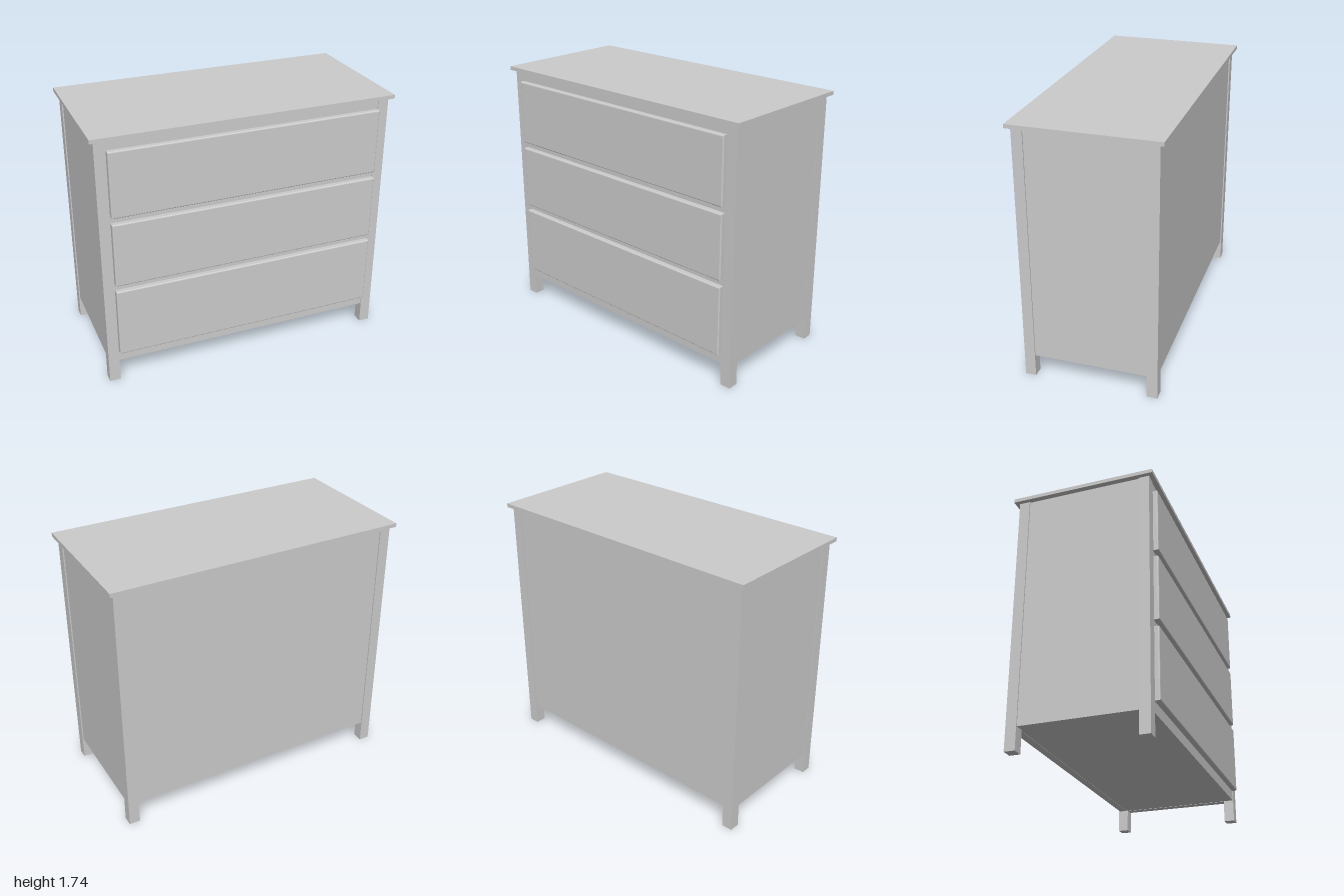
import * as THREE from 'three';

export function createModel() {
  const model = new THREE.Group();
  const grey = new THREE.MeshStandardMaterial({ color: 0xcccccc });

  // Box given by its min and max corners
  function box(name, [x0, y0, z0], [x1, y1, z1]) {
    const mesh = new THREE.Mesh(new THREE.BoxGeometry(x1 - x0, y1 - y0, z1 - z0), grey);
    mesh.position.set((x0 + x1) / 2, (y0 + y1) / 2, (z0 + z1) / 2);
    mesh.name = name;
    model.add(mesh);
  }

  const legIn = 0.9, legOut = 0.972; // leg extents in x
  const zIn = 0.374, zOut = 0.444;   // leg extents in z
  const base = 0.15, under = 1.71;   // carcass bottom and underside of top

  // Overhanging top board
  box('top', [-1, under, -0.473], [1, 1.735, 0.473]);

  // Four full-height corner legs
  for (const sx of [-1, 1]) {
    for (const sz of [-1, 1]) {
      const x = [sx * legIn, sx * legOut].sort((a, b) => a - b);
      const z = [sz * zIn, sz * zOut].sort((a, b) => a - b);
      box((sz > 0 ? 'front' : 'back') + (sx > 0 ? 'Left' : 'Right') + 'Leg',
        [x[0], 0, z[0]], [x[1], under, z[1]]);
    }
  }

  // Side, back and bottom panels, set just inside the leg faces
  box('leftPanel', [0.91, base, -zIn], [0.964, under, zIn]);
  box('rightPanel', [-0.964, base, -zIn], [-0.91, under, zIn]);
  box('backPanel', [-legIn, base, -0.436], [legIn, under, -0.385]);
  box('bottomPanel', [-0.91, base + 0.002, -0.385], [0.91, 0.18, 0.42]);

  // Front rails between the drawers
  const rails = [[base, 0.24], [0.67, 0.75], [1.145, 1.23], [1.62, under]];
  rails.forEach(([y0, y1], i) =>
    box('frontRail' + (i + 1), [-legIn, y0, 0.39], [legIn, y1, 0.44]));

  // Drawer fronts with a softened front edge
  const drawers = [[0.22, 0.69], [0.733, 1.165], [1.208, 1.643]];
  const bevel = 0.008, back = 0.425, front = 0.475;
  drawers.forEach(([y0, y1], i) => {
    const w = 0.898 - bevel, lo = y0 + bevel, hi = y1 - bevel;
    const shape = new THREE.Shape([
      new THREE.Vector2(-w, lo), new THREE.Vector2(w, lo),
      new THREE.Vector2(w, hi), new THREE.Vector2(-w, hi),
    ]);
    const geometry = new THREE.ExtrudeGeometry(shape, {
      depth: front - back - 2 * bevel,
      bevelSize: bevel, bevelThickness: bevel, bevelSegments: 3,
    });
    const drawer = new THREE.Mesh(geometry, grey);
    drawer.position.z = back + bevel;
    drawer.name = 'drawerFront' + (i + 1);
    model.add(drawer);
  });

  return model;
}
